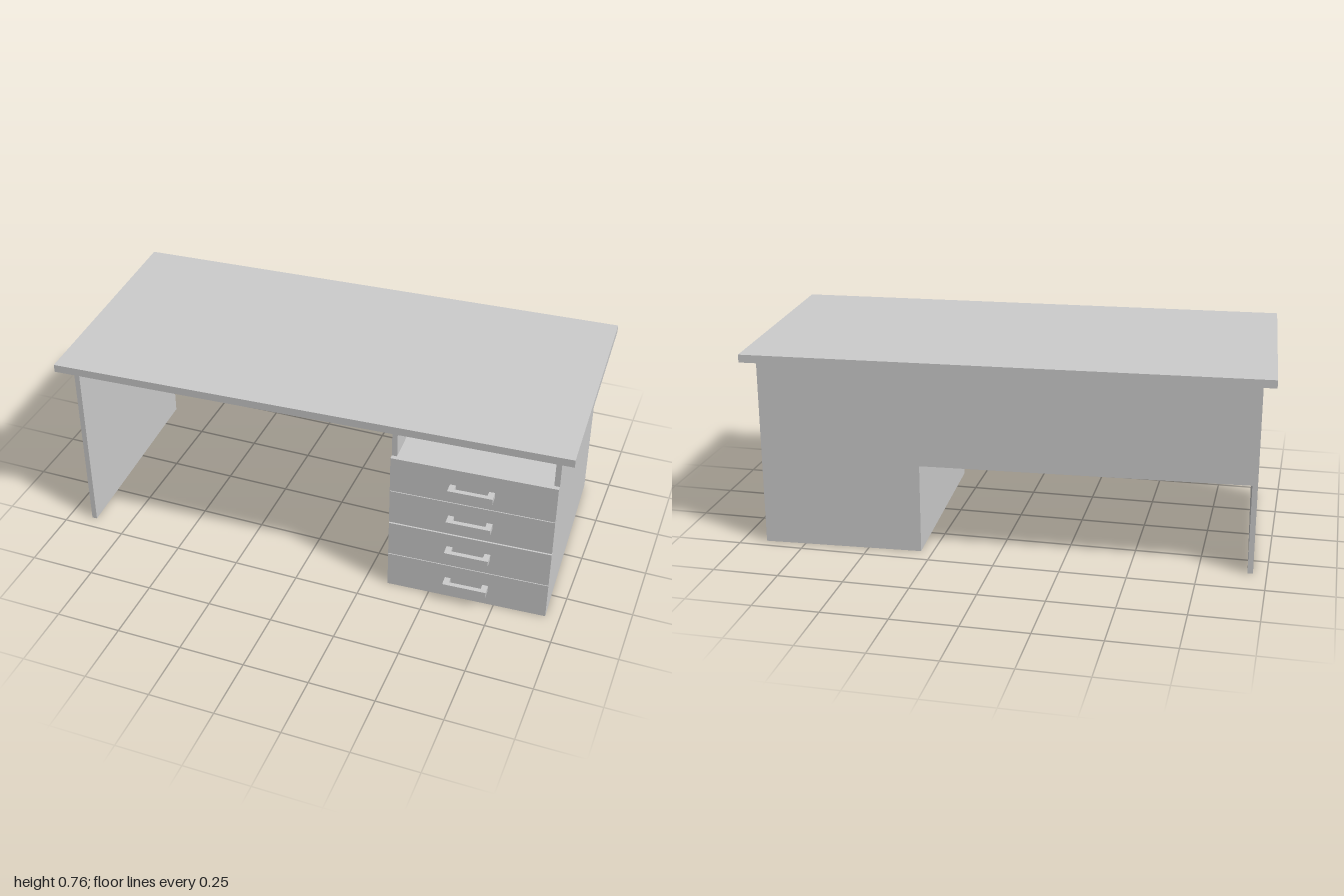
import * as THREE from 'three';

const material = new THREE.MeshStandardMaterial({ color: 0xcccccc });

// Box given by its limits on each axis
function box(name, [x0, x1], [y0, y1], [z0, z1]) {
  const mesh = new THREE.Mesh(new THREE.BoxGeometry(x1 - x0, y1 - y0, z1 - z0), material);
  mesh.position.set((x0 + x1) / 2, (y0 + y1) / 2, (z0 + z1) / 2);
  mesh.name = name;
  return mesh;
}

function extrude(name, points, depth) {
  const shape = new THREE.Shape(points.map(([x, y]) => new THREE.Vector2(x, y)));
  const geometry = new THREE.ExtrudeGeometry(shape, { depth, bevelEnabled: false });
  const mesh = new THREE.Mesh(geometry, material);
  mesh.name = name;
  return mesh;
}

export function createModel() {
  const desk = new THREE.Group();
  desk.name = 'desk';

  const T = 0.02; // board thickness
  const under = 0.73; // underside of the top
  const back = -0.413, front = 0.402;
  const left = 0.317, right = 0.927; // drawer cabinet limits
  const legX = -0.93;

  desk.add(box('tabletop', [-0.977, 0.977], [under, 0.76], [-0.46, 0.46]));

  // Upright boards
  desk.add(box('legPanel', [legX, legX + T], [0, under], [back, front]));
  desk.add(box('cabinetInnerSide', [left, left + T], [0, under], [back + T, front]));
  desk.add(box('cabinetOuterSide', [right - T, right], [0, under], [back + T, front]));

  // L-shaped back: modesty panel and cabinet back in one board
  const backPanel = extrude('backPanel', [
    [legX + T, 0.345], [left, 0.345], [left, 0], [right, 0], [right, under], [legX + T, under],
  ], T);
  backPanel.position.z = back;
  desk.add(backPanel);

  // Cabinet floor and the shelf of the open compartment
  const inside = [left + T, right - T];
  desk.add(box('cabinetFloor', inside, [0, T], [back + T, front]));
  desk.add(box('cabinetShelf', inside, [0.573, 0.593], [back + T, front]));

  // Drawer fronts with bracket handles
  const drawers = [
    [0, 0.147, 0.077], [0.15, 0.295, 0.228], [0.301, 0.444, 0.373], [0.447, 0.593, 0.515],
  ];
  const w = 0.0825, post = 0.022, reach = 0.0415, bar = 0.018, h = 0.024;
  drawers.forEach(([y0, y1, handleY]) => {
    const drawer = new THREE.Group();
    drawer.name = 'drawer';
    drawer.add(box('drawerFront', [left, right], [y0, y1], [front, 0.42]));

    const handle = extrude('drawerHandle', [
      [-w, 0], [-w + post, 0], [-w + post, -(reach - bar)], [w - post, -(reach - bar)],
      [w - post, 0], [w, 0], [w, -reach], [-w, -reach],
    ], h);
    handle.rotation.x = -Math.PI / 2; // plan outline lies flat, thickness upwards
    handle.position.set((left + right) / 2, handleY - h / 2, 0.42);
    drawer.add(handle);
    desk.add(drawer);
  });

  // The whole desk stands slightly turned
  desk.rotation.y = 0.051;
  const model = new THREE.Group();
  model.add(desk);
  return model;
}
